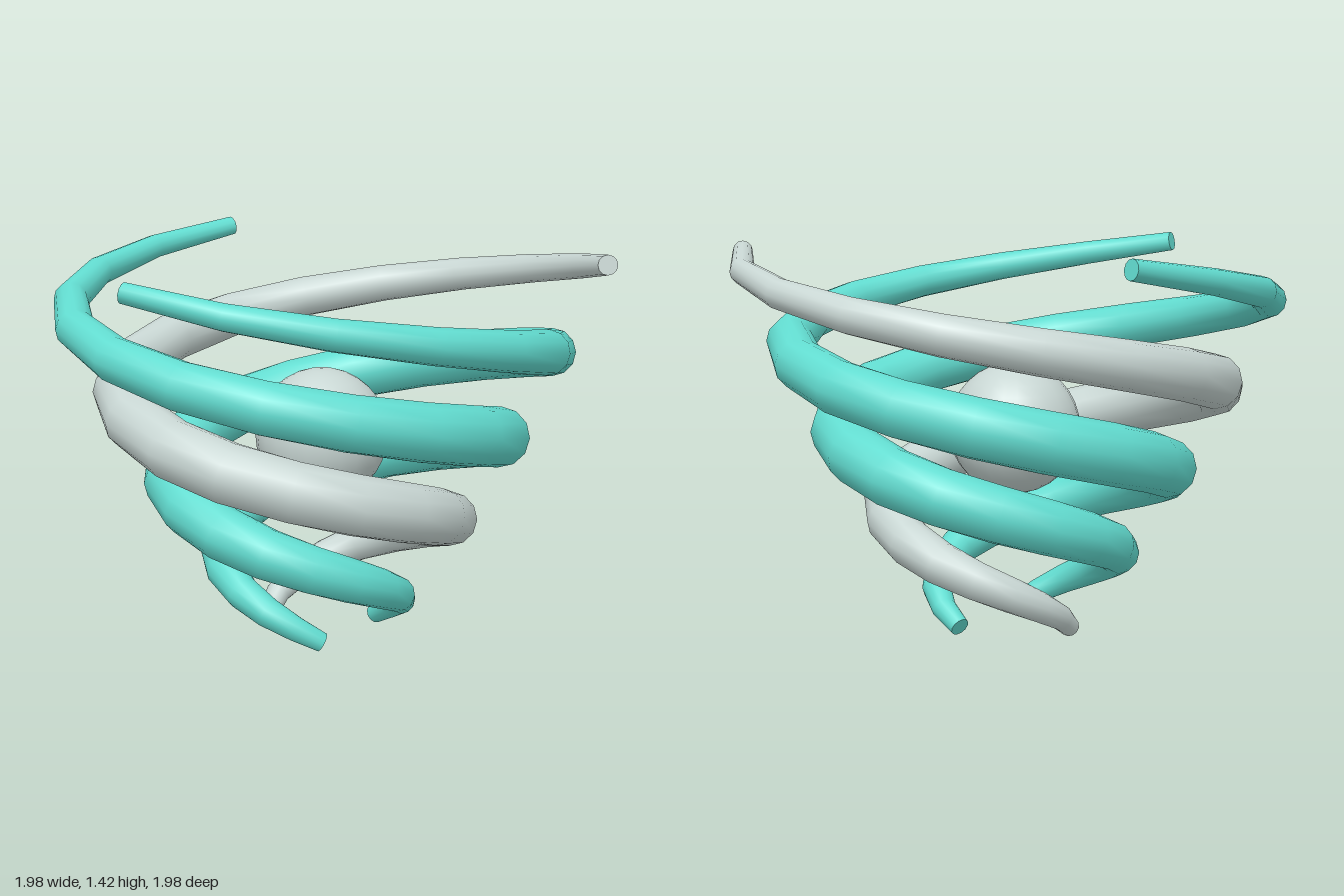
import * as THREE from 'three';

const TURN_STEP = (1.5 * Math.PI * 2) / 26;
const RINGS = 26;
const SIDES = 12;

// Centre line of one arm: an even, widening helix
function armPoint(i, phase) {
  const t = i / (RINGS - 1);
  const angle = phase + i * TURN_STEP;
  const r = 0.23 + 0.775 * t;
  return new THREE.Vector3(Math.cos(angle) * r, 0.035 + 1.35 * t, Math.sin(angle) * r);
}

// Capped tube that is thick in the middle and thin at both ends
function armGeometry(phase) {
  const positions = [];
  const index = [];
  const up = new THREE.Vector3(0, 1, 0);
  const ring = (i) => {
    const centre = armPoint(i, phase);
    const tangent = armPoint(Math.min(i + 1, RINGS - 1), phase)
      .sub(armPoint(Math.max(i - 1, 0), phase)).normalize();
    const side = new THREE.Vector3().crossVectors(up, tangent).normalize();
    const over = new THREE.Vector3().crossVectors(tangent, side);
    const radius = 0.036 + 0.072 * Math.sin(Math.PI * i / (RINGS - 1));
    for (let j = 0; j < SIDES; j++) {
      const a = (j / SIDES) * Math.PI * 2;
      const p = centre.clone()
        .addScaledVector(side, Math.cos(a) * radius)
        .addScaledVector(over, Math.sin(a) * radius);
      positions.push(p.x, p.y, p.z);
    }
  };

  // Skin
  for (let i = 0; i < RINGS; i++) ring(i);
  for (let i = 0; i < RINGS - 1; i++) {
    for (let j = 0; j < SIDES; j++) {
      const k = (j + 1) % SIDES;
      const a = i * SIDES + j, b = i * SIDES + k;
      index.push(a, b, b + SIDES, a, b + SIDES, a + SIDES);
    }
  }

  // End caps with their own corners, so their edges stay sharp
  for (const end of [0, RINGS - 1]) {
    const base = positions.length / 3;
    ring(end);
    for (let j = 1; j < SIDES - 1; j++) {
      if (end === 0) index.push(base, base + j + 1, base + j);
      else index.push(base, base + j, base + j + 1);
    }
  }

  const geometry = new THREE.BufferGeometry();
  geometry.setAttribute('position', new THREE.Float32BufferAttribute(positions, 3));
  geometry.setIndex(index);
  geometry.computeVertexNormals();
  return geometry;
}

export function createModel() {
  const teal = new THREE.MeshStandardMaterial({ color: 0x62dcd0 });
  teal.name = 'teal';
  const paleGrey = new THREE.MeshStandardMaterial({ color: 0xc8d6d3 });
  paleGrey.name = 'pale grey';

  const model = new THREE.Group();
  model.name = 'spiralVortex';

  // Three arms, a third of a turn apart
  const arms = [['spiralArmA', teal], ['spiralArmB', teal], ['spiralArmC', paleGrey]];
  arms.forEach(([name, material], n) => {
    const phase = THREE.MathUtils.degToRad(2.5 + n * 120);
    const arm = new THREE.Mesh(armGeometry(phase), material);
    arm.name = name;
    model.add(arm);
  });

  // Floating ball on the axis
  const core = new THREE.Mesh(new THREE.SphereGeometry(0.24, 24, 16), paleGrey);
  core.name = 'coreBall';
  core.position.y = 0.75;
  model.add(core);

  model.position.set(-0.01, 0, 0.02);
  return model;
}
